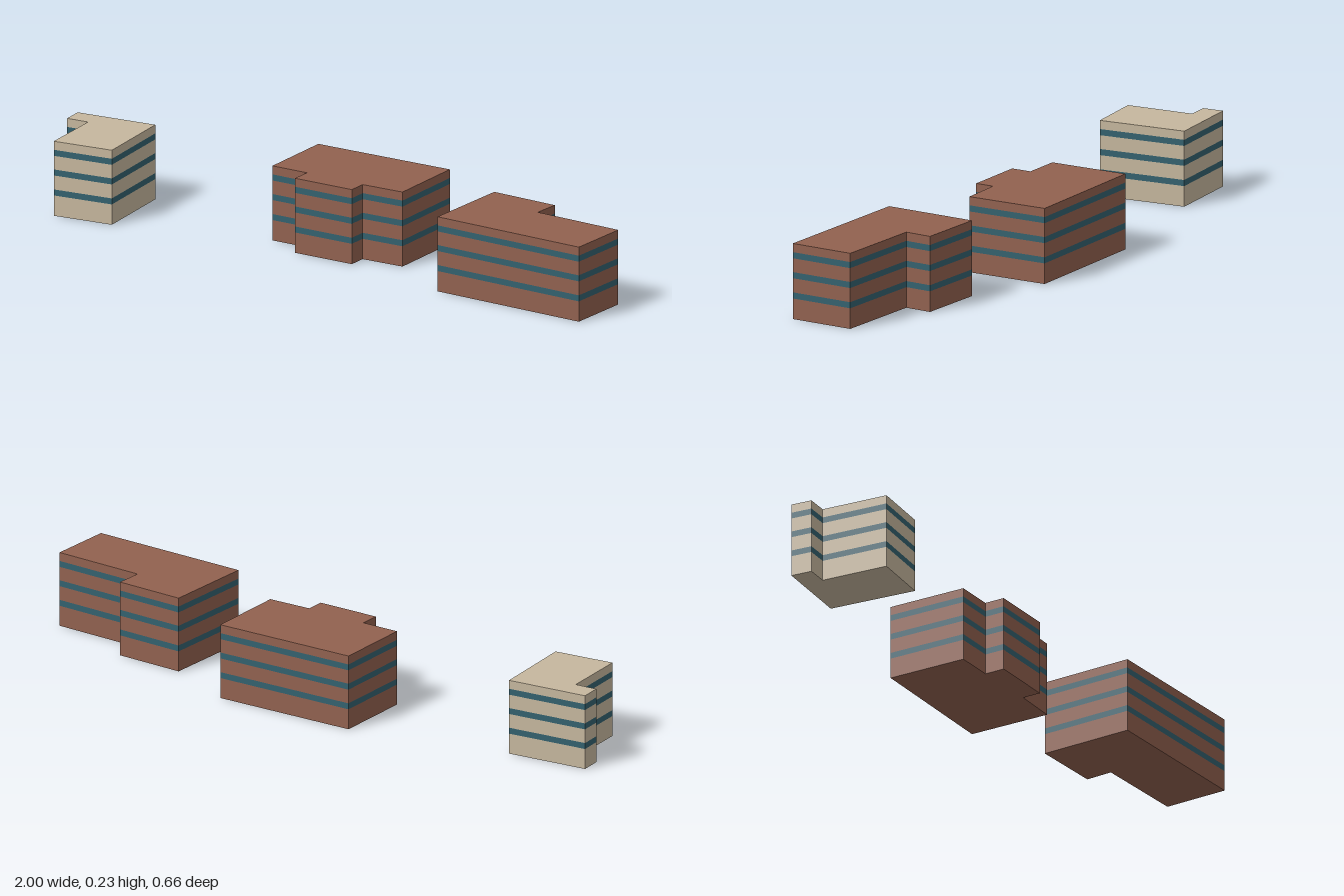
import * as THREE from 'three';
import { mergeGeometries } from 'three/addons/utils/BufferGeometryUtils.js';

const HEIGHT = 0.235;
// bottom and top of each window band
const BANDS = [[0.064, 0.083], [0.127, 0.146], [0.189, 0.208]];

// footprints as [x, z], clockwise seen from above
const BUILDINGS = [
  { name: 'tanBuilding', color: 0xc6b79e, plan: [
    [-1, 0.083], [-0.75, 0], [-0.66, 0.268], [-0.845, 0.332], [-0.91, 0.126], [-0.979, 0.147]] },
  { name: 'middleBrickBuilding', color: 0x91614f, plan: [
    [-0.275, -0.222], [0.18, -0.332], [0.242, -0.075], [0.106, -0.04],
    [0.119, 0.018], [-0.08, 0.063], [-0.094, 0], [-0.215, 0.027]] },
  { name: 'leftBrickBuilding', color: 0x91614f, plan: [
    [0.432, -0.275], [0.652, -0.315], [0.667, -0.23], [0.96, -0.283], [1, -0.08], [0.49, 0.018]] },
];

// a ring of upright wall panels around the footprint
function wallRing(plan, y0, y1) {
  return mergeGeometries(plan.map(([x, z], i) => {
    const [nx, nz] = plan[(i + 1) % plan.length];
    const dx = nx - x, dz = nz - z;
    return new THREE.PlaneGeometry(Math.hypot(dx, dz), y1 - y0)
      .rotateY(Math.atan2(dz, -dx))
      .translate((x + nx) / 2, (y0 + y1) / 2, (z + nz) / 2);
  }));
}

// flat roof (up = 1) or floor (up = -1)
function slab(plan, y, up) {
  const shape = new THREE.Shape(plan.map(([x, z]) => new THREE.Vector2(x, -up * z)));
  return new THREE.ShapeGeometry(shape).rotateX(-up * Math.PI / 2).translate(0, y, 0);
}

function building({ name, color, plan }) {
  const group = new THREE.Group();
  group.name = name;
  const wall = new THREE.MeshStandardMaterial({ color });
  const glass = new THREE.MeshStandardMaterial({ color: 0x33616e });
  const add = (part, geometry, material) => {
    const mesh = new THREE.Mesh(geometry, material);
    mesh.name = part;
    group.add(mesh);
  };

  // masonry courses alternate with flush window bands
  let y = 0;
  for (const [bottom, top] of BANDS) {
    add('wall', wallRing(plan, y, bottom), wall);
    add('windowBand', wallRing(plan, bottom, top), glass);
    y = top;
  }
  add('parapetWall', wallRing(plan, y, HEIGHT), wall);
  add('roof', slab(plan, HEIGHT, 1), wall);
  add('floor', slab(plan, 0, -1), wall);
  return group;
}

export function createModel() {
  const model = new THREE.Group();
  model.name = 'buildings';
  BUILDINGS.forEach((b) => model.add(building(b)));
  return model;
}
